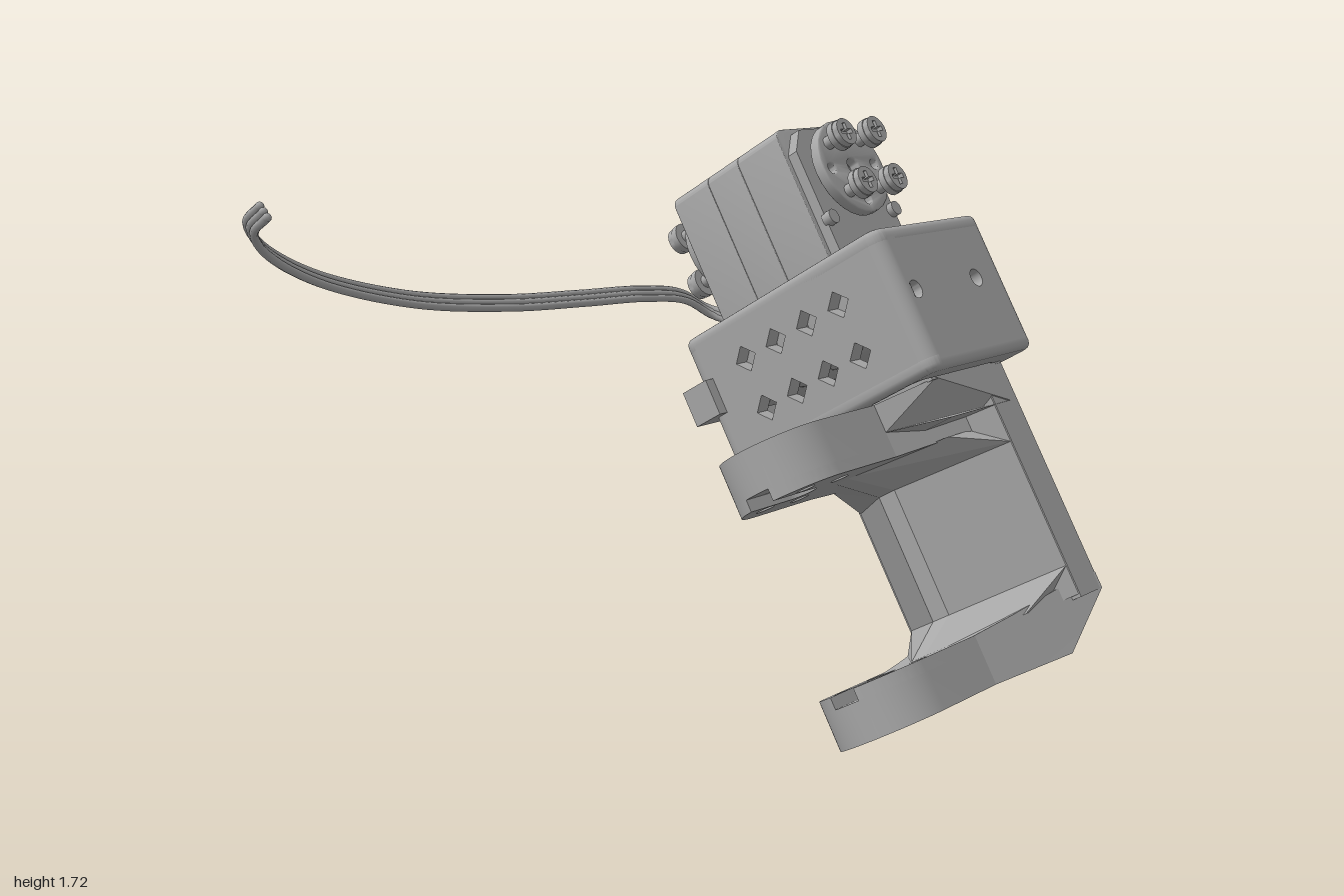
import * as THREE from 'three';
import { toCreasedNormals } from 'three/addons/utils/BufferGeometryUtils.js';

export function createModel() {
  const root = new THREE.Group();
  const tilted = new THREE.Group(); // the whole bracket leans back by 30 degrees
  tilted.name = 'tiltedAssembly';
  tilted.rotation.x = -Math.PI / 6;
  root.add(tilted);
  const grey = new THREE.MeshStandardMaterial({ color: 0xa8a8a8 });
  grey.name = 'plain grey';

  // ---- helpers ----
  const add = (name, geo, parent = tilted) => {
    const m = new THREE.Mesh(geo, grey);
    m.name = name;
    parent.add(m);
    return m;
  };
  const box = (name, x0, x1, y0, y1, z0, z1) =>
    add(name, new THREE.BoxGeometry(x1 - x0, y1 - y0, z1 - z0)
      .translate((x0 + x1) / 2, (y0 + y1) / 2, (z0 + z1) / 2));
  const poly = pts => new THREE.Shape(pts.map(p => new THREE.Vector2(p[0], p[1])));
  const rect = (x0, x1, y0, y1) => poly([[x0, y0], [x1, y0], [x1, y1], [x0, y1]]);
  const disc = (x, y, r) => new THREE.Shape().absarc(x, y, r, 0, Math.PI * 2, false);
  const extrude = (shape, holes, depth, bevel = 0) => {
    shape.holes.push(...holes);
    return new THREE.ExtrudeGeometry(shape, {
      depth: depth - 2 * bevel, curveSegments: 14, bevelEnabled: bevel > 0,
      bevelSize: bevel, bevelThickness: bevel, bevelOffset: -bevel, bevelSegments: 3,
    }).translate(0, 0, bevel);
  };
  const crease = g => toCreasedNormals(g, 0.6);
  const alongZ = (s, holes, z0, z1, bevel) => crease(extrude(s, holes, z1 - z0, bevel).translate(0, 0, z0));
  // shape drawn as (x, z), extruded in y
  const alongY = (s, holes, y0, y1, bevel) =>
    crease(extrude(s, holes, y1 - y0, bevel).rotateX(Math.PI / 2).translate(0, y1, 0));
  // shape drawn as (-z, y), extruded in x
  const alongX = (s, holes, x0, x1) =>
    crease(extrude(s, holes, x1 - x0).rotateY(Math.PI / 2).translate(x0, 0, 0));
  const roundRect = (x0, x1, y0, y1, r) => {
    const s = new THREE.Shape(), q = Math.PI / 2;
    s.absarc(x1 - r, y0 + r, r, -q, 0, false);
    s.absarc(x1 - r, y1 - r, r, 0, q, false);
    s.absarc(x0 + r, y1 - r, r, q, 2 * q, false);
    s.absarc(x0 + r, y0 + r, r, 2 * q, 3 * q, false);
    return s;
  };

  // ---- collar around the servo: pierced walls between two rounded rims ----
  const Y0 = 0.72, Y1 = 1.09, R = 0.045;
  const diamonds = [];
  for (const y of [0.825, 0.982])
    for (let i = 0; i < 4; i++) {
      const u = -(0.343 + i * 0.1253), d = 0.04;
      diamonds.push(poly([[u - d, y], [u, y - d], [u + d, y], [u, y + d]]));
    }
  for (const [name, x0, x1] of [['collarInnerWall', 0.455, 0.505], ['collarOuterWall', 0.89, 1.0]])
    add(name, alongX(rect(-0.928 + R, -0.137 - R, Y0, Y1), diamonds, x0, x1));
  for (const [name, z0, z1] of [['collarFrontWall', 0.82, 0.928], ['collarBackWall', 0.137, 0.2]])
    add(name, alongZ(rect(0.455 + R, 1 - R, Y0, Y1),
      [disc(0.53, 0.925, 0.027), disc(0.845, 0.925, 0.027)], z0, z1));
  for (const x of [0.455 + R, 1 - R])
    for (const z of [0.137 + R, 0.928 - R])
      add('collarCorner', new THREE.CylinderGeometry(R, R, Y1 - Y0, 32).translate(x, (Y0 + Y1) / 2, z));
  for (const [y0, y1] of [[0.69, 0.75], [1.06, 1.12]])
    add('collarRim', alongY(roundRect(0.455, 1, 0.137, 0.928, R),
      [roundRect(0.505, 0.89, 0.2, 0.82, 0.02)], y0, y1, 0.02));
  box('collarFloor', 0.57, 0.94, 0.685, 0.76, 0.2, 0.83);

  // ---- column joining both arms: outer plate and a ridge pointing inwards ----
  const pinHoles = [];
  for (const y of [0.146, 0.536])
    for (const z of [0.337, 0.727]) pinHoles.push(disc(-z, y, 0.014));
  add('columnPlate', alongX(rect(-0.829, -0.225, -0.03, 0.7), pinHoles, 0.82, 0.94));
  const ridge = () => poly([[0.9, 0.23], [0.9, 0.825], [0.82, 0.825], [0.57, 0.56], [0.57, 0.5], [0.82, 0.23]]);
  add('columnRidge', alongY(ridge(), [], -0.02, 0.7));

  // sloped gussets widen the ridge where it meets each arm
  for (const [name, wallY, armY] of [['lowerGusset', 0.068, -0.012], ['upperGusset', 0.455, 0.53]]) {
    const g = extrude(ridge(), [], 1).rotateX(Math.PI / 2).translate(0, 1, 0);
    const p = g.attributes.position;
    for (let i = 0; i < p.count; i++) {
      const top = p.getY(i) > 0.5;
      const atArm = top === armY > wallY;
      p.setY(i, top ? Math.max(wallY, armY) : Math.min(wallY, armY));
      if (atArm) {
        p.setZ(i, 0.53 + (p.getZ(i) - 0.53) * 0.76);
        if (p.getX(i) < 0.85) p.setX(i, p.getX(i) - 0.18);
      }
    }
    g.computeVertexNormals();
    add(name, g);
  }

  // flared roots: depth grows with x up to the column's depth
  const flare = (name, slope, pts) => {
    const g = extrude(poly(pts), [], 1);
    const p = g.attributes.position;
    for (let i = 0; i < p.count; i++) {
      const half = Math.min(0.301, 0.168 + (p.getX(i) - 0.45) * slope);
      p.setZ(i, 0.53 + (p.getZ(i) * 2 - 1) * half);
    }
    g.computeVertexNormals();
    add(name, crease(g));
  };
  flare('lowerArmRoot', 0.274, [[0.45, -0.155], [0.74, -0.165], [0.94, -0.03], [0.94, 0.02],
    [0.82, 0.02], [0.6, 0], [0.45, -0.01]]);
  flare('upperArmRoot', 0.2, [[0.45, 0.526], [0.9, 0.526], [0.9, 0.683], [0.45, 0.683]]);
  flare('upperArmShoulder', 0.95, [[0.45, 0.6], [0.59, 0.57], [0.9, 0.57], [0.9, 0.69], [0.59, 0.69], [0.45, 0.683]]);

  // ---- arms with four stepped holes and a slot on the facing side ----
  const CX = 0.19, CZ = 0.53, AR = 0.168;
  const armShape = slotted => {
    const w = 0.042, a = Math.asin(w / AR), q = Math.PI / 2, s = new THREE.Shape();
    if (slotted) {
      s.absarc(CX, CZ, AR, q, Math.PI - a, false);
      s.absarc(0.21, CZ, w, q, -q, true);
      s.absarc(CX, CZ, AR, Math.PI + a, 3 * q, false);
    } else s.absarc(CX, CZ, AR, q, 3 * q, false);
    s.lineTo(0.46, CZ - AR);
    s.lineTo(0.46, CZ + AR);
    return s;
  };
  const armHoles = r => [[-1, -1], [1, -1], [1, 1], [-1, 1]].map(([i, j]) =>
    disc(0.21 + i * 0.078, CZ + j * 0.078, r));
  add('lowerArm', alongY(armShape(false), armHoles(0.04), -0.155, -0.045));
  add('lowerArmSlot', alongY(armShape(true), armHoles(0.027), -0.045, -0.01));
  add('upperArm', alongY(armShape(false), armHoles(0.042), 0.561, 0.683));
  add('upperArmSlot', alongY(armShape(true), armHoles(0.027), 0.526, 0.561));

  // ---- servo body in stacked shells ----
  const SX = 0.692, SY = 1.36;
  for (const [name, z0, z1] of [['servoRearShell', 0.283, 0.4305], ['servoMiddleShell', 0.4315, 0.5575],
    ['servoFrontShell', 0.5585, 0.722]])
    add(name, alongZ(roundRect(0.505, 0.88, 0.84, 1.525, 0.035), [], z0, z1, 0.002));
  add('servoFace', alongZ(poly([[0.52, 0.86], [0.865, 0.86], [0.865, 1.44], [0.81, 1.505],
    [0.575, 1.505], [0.52, 1.44]]), [], 0.71, 0.755));
  for (const x of [0.535, 0.85])
    add('caseScrew', new THREE.CylinderGeometry(0.022, 0.022, 0.03, 16)
      .rotateX(Math.PI / 2).translate(x, 1.225, 0.76));
  box('cablePlug', 0.42, 0.53, 0.87, 0.98, 0.1, 0.2);

  // ---- horns with cross-head screws, front and rear ----
  const cross = () => {
    const a = 0.007, b = 0.026;
    return poly([[a, a], [b, a], [b, -a], [a, -a], [a, -b], [-a, -b], [-a, -a], [-b, -a],
      [-b, a], [-a, a], [-a, b], [a, b]]);
  };
  for (const [name, z, turn] of [['frontHorn', 0.742, 0], ['rearHorn', 0.288, Math.PI]]) {
    const horn = new THREE.Group();
    horn.name = name;
    horn.position.set(SX, SY, z);
    horn.rotation.y = turn;
    tilted.add(horn);
    const small = [[0.105, 0], [-0.105, 0], [0, 0.105], [0, -0.105]].map(([x, y]) => disc(x, y, 0.016));
    add('hornHub', new THREE.CylinderGeometry(0.09, 0.09, 0.03, 28).rotateX(Math.PI / 2).translate(0, 0, 0.01), horn);
    add('hornDisc', alongZ(disc(0, 0, 0.146), [disc(0, 0, 0.025), ...small], 0.025, 0.058, 0.005), horn);
    for (const x of [-0.076, 0.076])
      for (const y of [-0.076, 0.076]) {
        add('screwShank', new THREE.CylinderGeometry(0.02, 0.02, 0.08, 14)
          .rotateX(Math.PI / 2).translate(x, y, 0.065), horn);
        add('screwHead', new THREE.CylinderGeometry(0.044, 0.044, 0.02, 20)
          .rotateX(Math.PI / 2).translate(x, y, 0.105), horn);
        add('screwHeadTop', alongZ(disc(0, 0, 0.041), [cross()], 0, 0.018).translate(x, y, 0.115), horn);
      }
  }

  // ---- three-strand flat cable ----
  const path = [[0.85, 1.14, -0.34], [0.865, 1.085, -0.45], [0.87, 1.06, -0.55], [0.84, 1.075, -0.635],
    [0.75, 1.13, -0.67], [0.57, 1.158, -0.682], [0.3, 1.172, -0.695], [0, 1.19, -0.71],
    [-0.36, 1.238, -0.73], [-0.68, 1.328, -0.74], [-0.87, 1.42, -0.71], [-0.96, 1.49, -0.65],
    [-0.985, 1.535, -0.565]];
  for (const k of [-1, 0, 1]) {
    const curve = new THREE.CatmullRomCurve3(path.map(([x, y, z]) =>
      new THREE.Vector3(x, y + k * 0.013, z - k * 0.013)));
    add('cableStrand', new THREE.TubeGeometry(curve, 90, 0.0115, 8, false), root);
    for (const end of [0, 1])
      add('cableEnd', new THREE.SphereGeometry(0.0115, 8, 6), root).position.copy(curve.getPoint(end));
  }
  return root;
}
